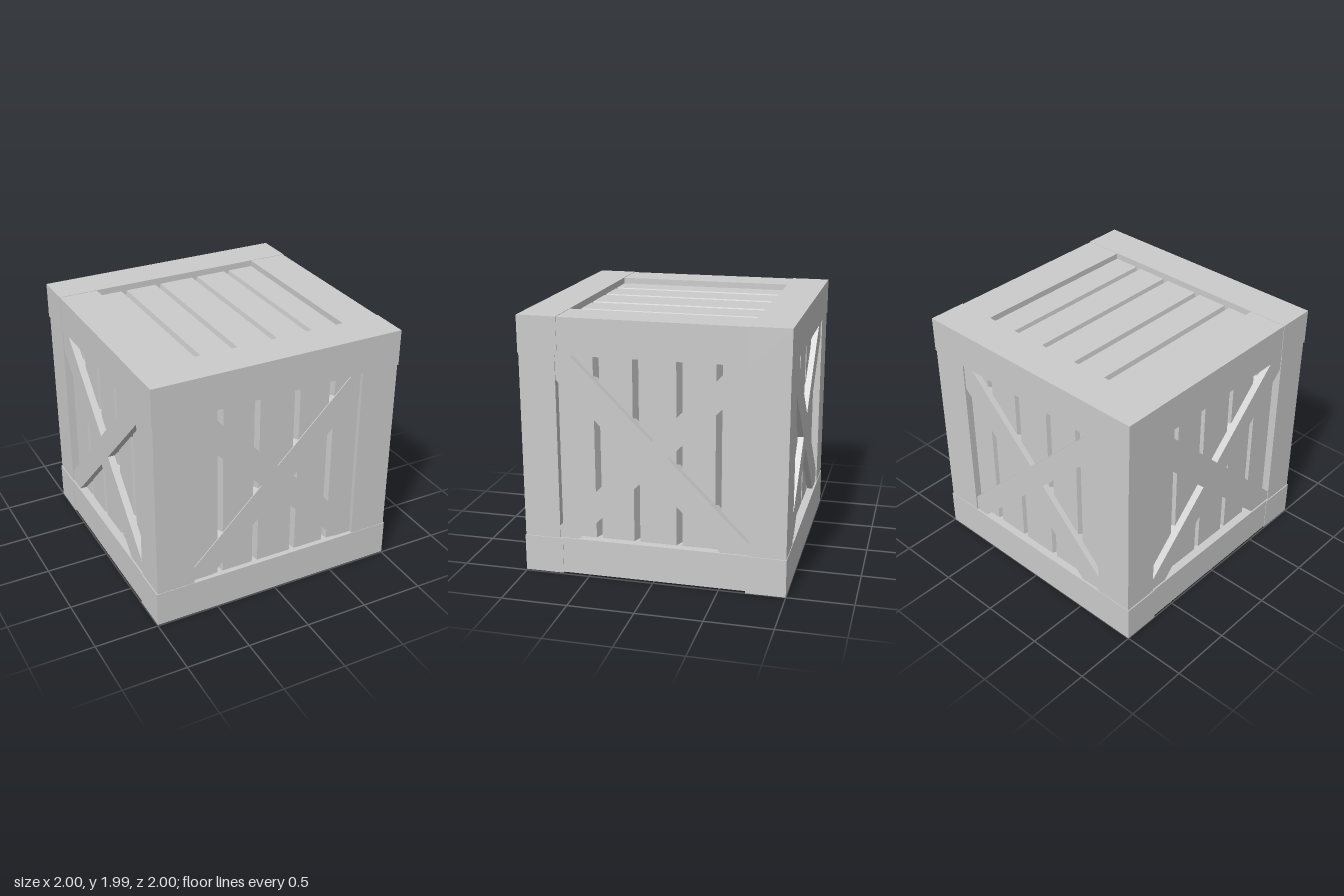
import * as THREE from 'three';

const material = new THREE.MeshStandardMaterial({ color: 0xcccccc, flatShading: true });

function addMesh(parent, name, geometry) {
  const mesh = new THREE.Mesh(geometry, material);
  mesh.name = name;
  parent.add(mesh);
  return mesh;
}

// Box given by its minimum and maximum corners
function addBeam(parent, name, min, max) {
  const size = max.map((v, i) => v - min[i]);
  const mesh = addMesh(parent, name, new THREE.BoxGeometry(...size));
  mesh.position.set(...max.map((v, i) => (v + min[i]) / 2));
}

// Five planks with V grooves between them; u is across, depth is outward
function plankGeometry(grooves, recess) {
  const half = 0.78, width = 0.046, depth = 0.08;
  const shape = new THREE.Shape();
  shape.moveTo(-half, -recess - 0.19);
  shape.lineTo(half, -recess - 0.19);
  shape.lineTo(half, -recess);
  for (const g of [...grooves].reverse()) {
    shape.lineTo(g + width / 2, -recess);
    shape.lineTo(g + 0.006, -recess - depth);
    shape.lineTo(g - width / 2, -recess);
  }
  shape.lineTo(-half, -recess);
  shape.closePath();
  const geometry = new THREE.ExtrudeGeometry(shape, { depth: 2 * half, bevelEnabled: false });
  geometry.translate(0, 0, -half);
  return geometry.rotateX(Math.PI / 2).scale(1, 1, 1);
}

// One face of the crate, built facing +z with the outer surface at z = 1
function addFace(parent, { name, rotation, grooves, recess, braces = [], braceTop = 0 }) {
  const face = new THREE.Group();
  face.name = name;
  face.position.y = 1;
  face.rotation.set(...rotation);
  parent.add(face);

  // After the turn the profile's outward axis points along +z
  addMesh(face, 'planks', plankGeometry(grooves, recess)).position.z = 1;

  // Crossed diagonal boards, their ends buried in the frame
  const thickness = 0.1;
  for (const { slope, offset, width } of braces) {
    const board = addMesh(face, 'diagonalBrace', new THREE.BoxGeometry(2.2, width, thickness));
    board.rotation.z = slope * Math.PI / 4;
    // Slide the board square to its length so its centre line meets v = offset at u = 0
    board.position.set(-slope * offset / 2, offset / 2, 1 - braceTop - thickness / 2);
  }
}

export function createModel() {
  const crate = new THREE.Group();
  crate.name = 'crate';

  // Frame: four posts, then the rails that run across and from front to back
  const frame = new THREE.Group();
  frame.name = 'frame';
  crate.add(frame);
  const span = (side, inner, outer) => (side > 0 ? [inner, outer] : [-outer, -inner]);
  for (const sx of [-1, 1]) {
    const [x0, x1] = span(sx, 0.69, 0.992);
    for (const sz of [-1, 1]) {
      const [z0, z1] = span(sz, 0.72, 0.996);
      addBeam(frame, 'cornerPost', [x0, 0.2, z0], [x1, 1.8, z1]);
    }
    for (const [y0, y1] of [[0.015, 0.295], [1.71, 1.987]]) {
      const [rx0, rx1] = span(sx, 0.69, 0.996);
      addBeam(frame, 'sideRail', [rx0, y0, -0.75], [rx1, y1, 0.75]);
    }
  }
  for (const sz of [-1, 1]) {
    const [z0, z1] = span(sz, 0.7, 1);
    const bottom = sz > 0 ? 0.008 : 0;
    for (const [y0, y1] of [[bottom, 0.29], [1.71, 1.99]]) {
      addBeam(frame, 'crossRail', [-1, y0, z0], [1, y1, z1]);
    }
  }

  // Planked faces
  const frontGrooves = [-0.46, -0.165, 0.162, 0.455];
  const sideGrooves = [-0.43, -0.135, 0.19, 0.48];
  const sideBraces = [
    { slope: 1, offset: -0.01, width: 0.17 },
    { slope: -1, offset: -0.05, width: 0.21 },
  ];
  const frontBraces = [
    { slope: 1, offset: -0.05, width: 0.185 },
    { slope: -1, offset: -0.025, width: 0.19 },
  ];
  const q = Math.PI / 2;
  const faces = [
    { name: 'frontFace', rotation: [0, 0, 0], grooves: frontGrooves, recess: 0.04, braces: frontBraces, braceTop: 0.033 },
    { name: 'backFace', rotation: [0, 2 * q, 0], grooves: frontGrooves, recess: 0.06, braces: sideBraces, braceTop: 0.015 },
    { name: 'leftFace', rotation: [0, q, 0], grooves: sideGrooves, recess: 0.07, braces: sideBraces, braceTop: 0.015 },
    { name: 'rightFace', rotation: [0, -q, 0], grooves: sideGrooves, recess: 0.07, braces: sideBraces, braceTop: 0.015 },
    { name: 'topFace', rotation: [-q, 0, 0], grooves: frontGrooves, recess: 0.06 },
    { name: 'bottomFace', rotation: [q, 0, 0], grooves: frontGrooves, recess: 0.045 },
  ];
  for (const face of faces) addFace(crate, face);
  return crate;
}
